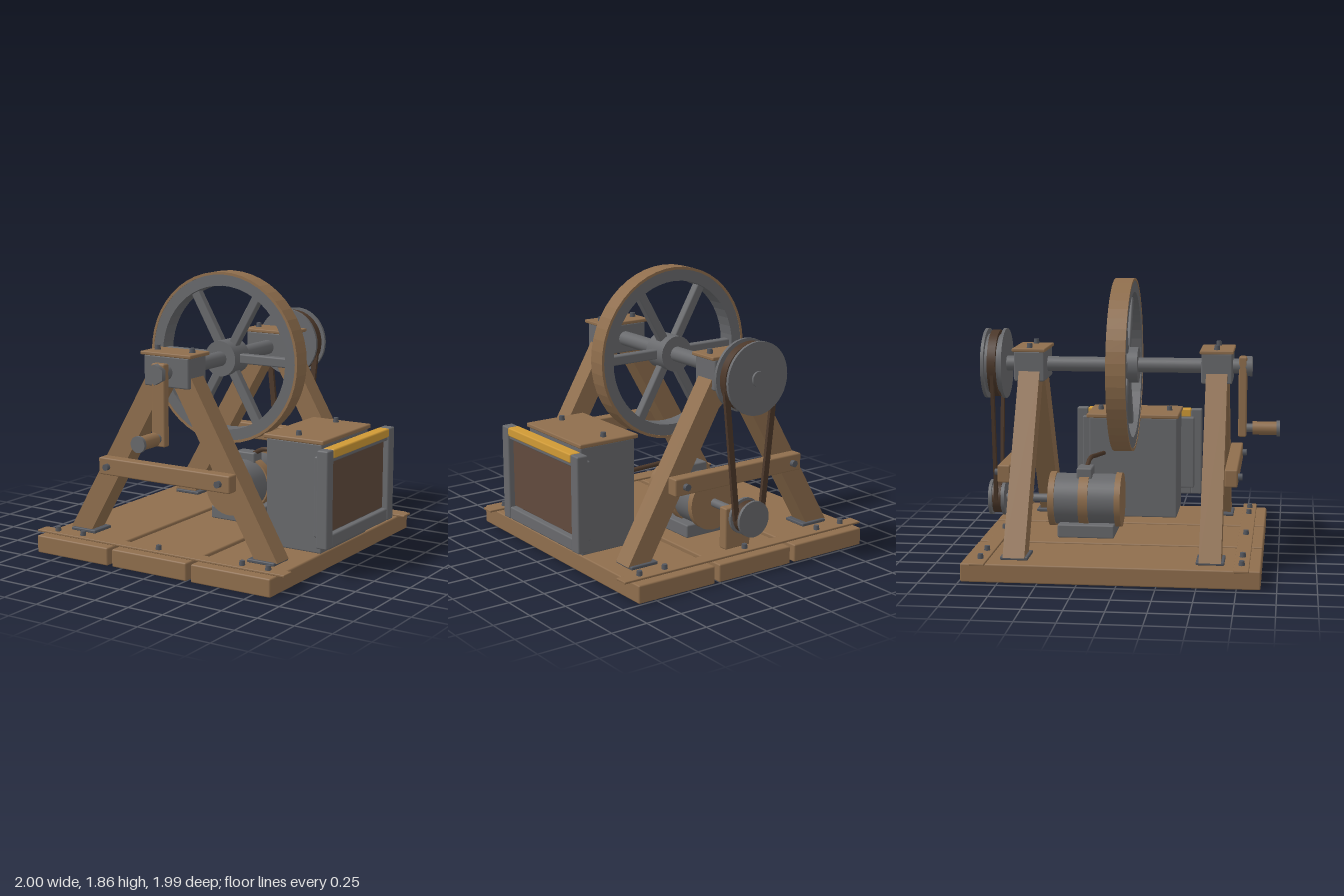
import * as THREE from 'three';
import { RoundedBoxGeometry } from 'three/addons/geometries/RoundedBoxGeometry.js';

const mat = (name, color) => {
  const m = new THREE.MeshStandardMaterial({ color });
  m.name = name;
  return m;
};

export function createModel() {
  const model = new THREE.Group();
  model.name = 'flywheelGenerator';
  const wood = mat('wood', 0x8f6e4d);
  const iron = mat('iron', 0x68696c);
  const bolt = mat('boltSteel', 0x53565d);
  const rubber = mat('beltRubber', 0x4c382a);
  const screen = mat('screenBrown', 0x614a3d);
  const yellow = mat('yellowPaint', 0xd09a35);

  const CX = -0.035, AXLE = 1.28, MOTOR = 0.355;

  const add = (name, geometry, material, parent = model) => {
    const m = new THREE.Mesh(geometry, material);
    m.name = name;
    parent.add(m);
    return m;
  };
  // Slightly bevelled box from its limits
  const box = (name, material, x0, x1, y0, y1, z0, z1, parent) => {
    const s = [x1 - x0, y1 - y0, z1 - z0];
    const r = Math.min(0.01, Math.min(...s) * 0.3);
    const m = add(name, new RoundedBoxGeometry(...s, 1, r), material, parent);
    m.position.set((x0 + x1) / 2, (y0 + y1) / 2, (z0 + z1) / 2);
    return m;
  };
  // Cylinder along z between two depths
  const rod = (name, material, r, z0, z1, y, x = CX, sides = 32, parent) => {
    const g = new THREE.CylinderGeometry(r, r, Math.abs(z1 - z0), sides).rotateX(Math.PI / 2);
    const m = add(name, g, material, parent);
    m.position.set(x, y, (z0 + z1) / 2);
    return m;
  };
  // Upright bolt head
  const boltUp = (x, y, z) => {
    const m = add('bolt', new THREE.CylinderGeometry(0.017, 0.021, 0.035, 8), bolt);
    m.position.set(x, y + 0.0125, z);
  };
  // Flat ring around the z axis
  const ring = (name, material, ro, ri, z0, z1, y) => {
    const s = new THREE.Shape().absarc(0, 0, ro, 0, Math.PI * 2);
    s.holes.push(new THREE.Path().absarc(0, 0, ri, 0, Math.PI * 2, true));
    const g = new THREE.ExtrudeGeometry(s, { depth: z1 - z0, bevelEnabled: false, curveSegments: 24 });
    add(name, g, material).position.set(CX, y, z0);
  };

  // Base planks and the two bolted cross strips
  for (const [a, b] of [[-0.945, -0.36], [-0.325, 0.257], [0.292, 0.875]])
    box('basePlank', wood, a, b, 0, 0.12, -0.99, 0.9);
  for (const z of [-0.873, 0.78]) {
    box('crossStrip', wood, -1, 0.93, 0.12, 0.135, z - 0.048, z + 0.048);
    for (const x of [-0.86, -0.65, CX, 0.6, 0.79]) boltUp(x, 0.135, z);
  }

  // A-frames: side is the outward direction along z
  for (const [z, side] of [[0.58, 1], [-0.665, -1]]) {
    for (const s of [-1, 1]) {
      const leg = new THREE.Shape([
        [0.813, 0.137], [0.163, 1.262], [-0.007, 1.262], [0.643, 0.137],
      ].map(([x, y]) => new THREE.Vector2(x * s, y)));
      const g = new THREE.ExtrudeGeometry(leg, { depth: 0.14, bevelEnabled: false });
      add('frameLeg', g, wood).position.set(CX, 0, z - 0.07);
      const fx = CX + s * 0.7;
      box('footPlate', bolt, fx - 0.1, fx + 0.1, 0.12, 0.142, z - 0.09, z + 0.09);
      rod('crossbarBolt', bolt, 0.023, z + side * 0.14, z + side * 0.185, 0.617, CX + s * 0.435, 8);
      boltUp(CX + s * 0.134, 1.402, z);
    }
    const zb = z + side * 0.115;
    box('crossbar', wood, -0.543, 0.478, 0.56, 0.675, zb - 0.042, zb + 0.042);
    box('bearingBlock', iron, -0.206, 0.136, 1.18, 1.38, z - 0.102, z + 0.102);
    box('bearingCap', wood, -0.23, 0.16, 1.378, 1.402, z - 0.112, z + 0.112);
  }

  // Axle, hand crank and its grip
  rod('axle', iron, 0.05, -0.997, 0.78, AXLE);
  rod('axleNut', iron, 0.067, 0.772, 0.81, AXLE, CX, 6);
  box('crankArm', wood, CX - 0.05, CX + 0.05, 0.81, 1.345, 0.72, 0.775);
  rod('gripCollar', iron, 0.028, 0.77, 0.82, 0.865);
  rod('grip', wood, 0.045, 0.815, 0.978, 0.865);
  rod('gripEnd', iron, 0.053, 0.975, 0.997, 0.865);

  // Flywheel with wooden tread and six spokes
  ring('wheelTread', wood, 0.58, 0.562, -0.105, 0.022, AXLE);
  ring('wheelRim', iron, 0.563, 0.487, -0.102, 0.019, AXLE);
  rod('wheelHub', iron, 0.12, -0.13, 0.05, AXLE);
  for (let i = 0; i < 6; i++) {
    const pivot = new THREE.Group();
    pivot.name = 'wheelSpoke';
    pivot.position.set(CX, AXLE, -0.042);
    pivot.rotation.z = i * Math.PI / 3;
    model.add(pivot);
    box('spokeBar', iron, 0.08, 0.5, -0.032, 0.032, -0.03, 0.03, pivot);
  }

  // Belt pulleys
  const pulley = (name, y, r, z0, z1, beltR) => {
    rod(name + 'Core', iron, r * 0.84, z0, z1, y, CX, 40);
    rod(name + 'Cheek', iron, r, z0, z0 + 0.02, y, CX, 40);
    rod(name + 'Cheek', iron, r, z1 - 0.02, z1, y, CX, 40);
    rod(name + 'BeltWrap', rubber, beltR, -0.94, -0.885, y, CX, 40);
  };
  pulley('largePulley', AXLE, 0.236, -0.983, -0.842, 0.224);
  pulley('smallPulley', MOTOR, 0.12, -0.967, -0.857, 0.106);
  for (const s of [-1, 1]) {
    const dx = 0.1, dy = AXLE - MOTOR;
    const strap = add('beltStrap', new THREE.BoxGeometry(0.04, Math.hypot(dx, dy), 0.022), rubber);
    strap.position.set(CX + s * 0.152, (AXLE + MOTOR) / 2, -0.911);
    strap.rotation.z = -s * Math.atan2(dx, dy);
  }

  // Generator drum, base and outboard support
  rod('generatorBody', iron, 0.174, -0.51, -0.095, MOTOR, CX, 40);
  rod('generatorRearCap', wood, 0.185, -0.55, -0.508, MOTOR, CX, 40);
  rod('generatorFrontCap', wood, 0.185, -0.1, -0.06, MOTOR, CX, 40);
  rod('generatorBand', wood, 0.185, -0.345, -0.28, MOTOR, CX, 40);
  rod('generatorShaft', iron, 0.028, -0.87, -0.5, MOTOR);
  box('generatorBase', iron, -0.206, 0.136, 0.12, 0.21, -0.483, -0.1);
  box('terminalBox', iron, -0.115, 0.045, 0.48, 0.58, -0.365, -0.26);
  box('shaftSupport', wood, CX - 0.1, CX + 0.1, 0.12, 0.4, -0.805, -0.735);

  // Cable from the generator to the cabinet
  const path = new THREE.CatmullRomCurve3([[0, 0.56, -0.312], [0.1, 0.61, -0.3],
    [0.27, 0.6, -0.278], [0.48, 0.58, -0.25]].map(p => new THREE.Vector3(...p)));
  add('cable', new THREE.TubeGeometry(path, 16, 0.016, 8), rubber);

  // Cabinet with bolted lid
  box('cabinet', iron, 0.465, 0.875, 0.12, 0.838, -0.355, 0.27);
  box('cabinetLid', wood, 0.445, 0.89, 0.835, 0.865, -0.373, 0.282);
  for (const z of [-0.295, 0.2]) boltUp(0.665, 0.865, z);

  // Display panel: backing, frame, yellow top bar and recessed screen
  box('panelBacking', iron, 0.87, 0.93, 0.255, 0.78, -0.46, 0.365);
  box('frameSide', iron, 0.918, 0.998, 0.2, 0.835, 0.338, 0.418);
  box('frameSide', iron, 0.918, 0.998, 0.2, 0.835, -0.507, -0.425);
  box('frameBottom', iron, 0.918, 0.994, 0.2, 0.285, -0.43, 0.343);
  box('frameTopInner', iron, 0.918, 0.99, 0.752, 0.785, -0.43, 0.343);
  box('yellowTopBar', yellow, 0.918, 1, 0.776, 0.836, -0.426, 0.339);
  box('screenBezel', iron, 0.925, 0.955, 0.27, 0.77, -0.43, 0.343);
  box('screen', screen, 0.954, 0.963, 0.292, 0.745, -0.414, 0.332);
  return model;
}
